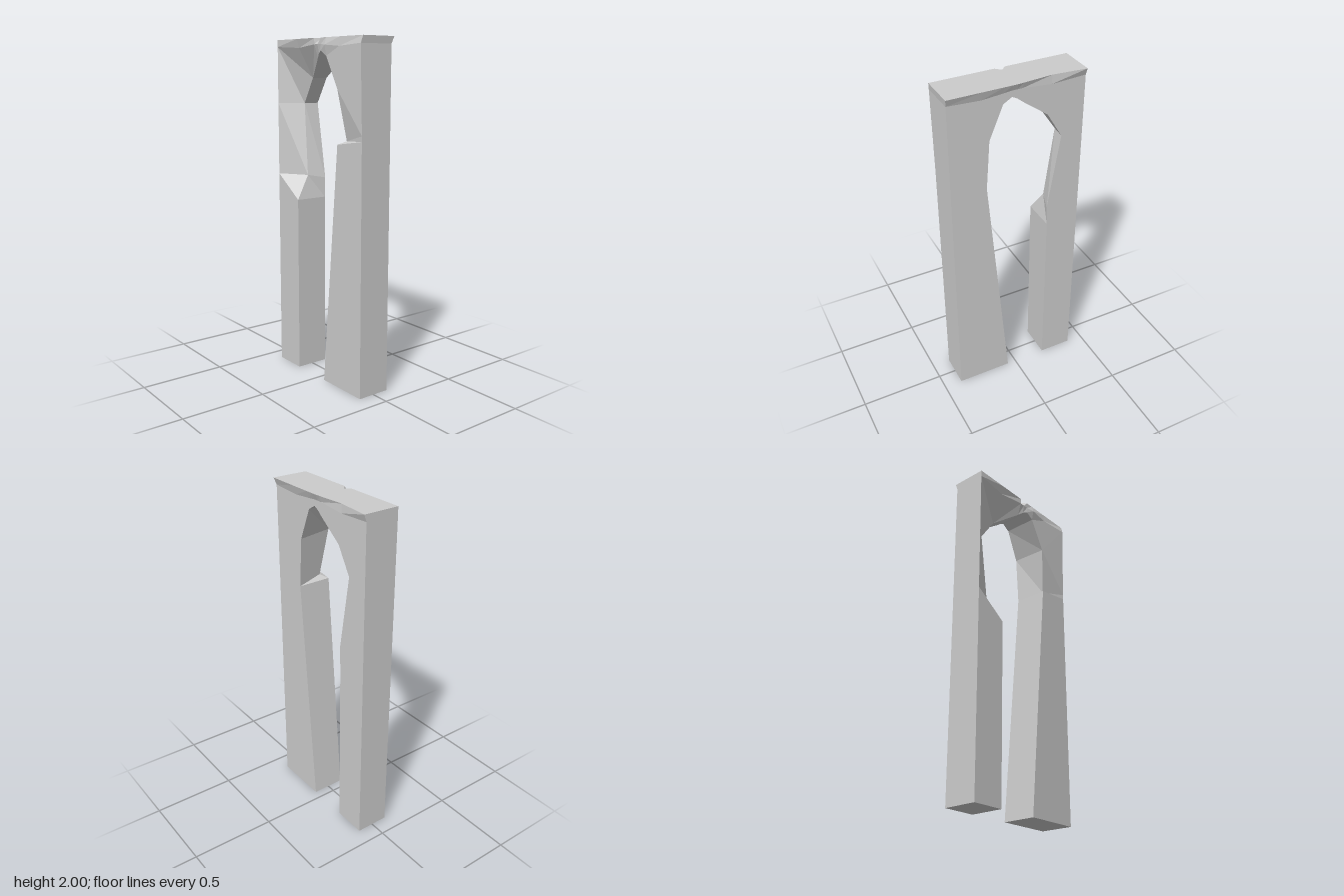
import * as THREE from 'three';

// One cross-section of the arch: [innerFront, ridgeFront, outerFront, outerBack, ridgeBack, innerBack].
// inner, ridge and outer are [x, y, zFront = 0.1, zBack = -0.1]; innerBack may differ from innerFront.
function section(inner, outer, { back = inner, ridge = outer } = {}) {
  const front = ([x, y, z = 0.1]) => [x, y, z];
  const rear = ([x, y, , z = -0.1]) => [x, y, z];
  return [front(inner), front(ridge), front(outer), rear(outer), rear(ridge), rear(back)];
}

// Skin consecutive cross-sections and close both feet
function skin(sections) {
  const positions = [];
  const [a, b, c, ab, ac] = Array.from({ length: 5 }, () => new THREE.Vector3());
  const tri = (p, q, r) => {
    a.set(...p); b.set(...q); c.set(...r);
    const area = ab.subVectors(b, a).cross(ac.subVectors(c, a)).length();
    if (area > 1e-7) positions.push(...p, ...q, ...r);
  };
  for (let j = 0; j < sections.length - 1; j++) {
    const s = sections[j], t = sections[j + 1];
    for (let k = 0; k < 6; k++) {
      const n = (k + 1) % 6;
      tri(s[k], t[k], t[n]);
      tri(s[k], t[n], s[n]);
    }
  }
  const first = sections[0], last = sections[sections.length - 1];
  tri(first[0], first[2], first[3]);
  tri(first[0], first[3], first[5]);
  tri(last[0], last[3], last[2]);
  tri(last[0], last[5], last[3]);
  const geometry = new THREE.BufferGeometry();
  geometry.setAttribute('position', new THREE.Float32BufferAttribute(positions, 3));
  geometry.computeVertexNormals();
  return geometry;
}

export function createModel() {
  const shoulderL = [-0.18, 1.78, 0];
  const shoulderR = [0.18, 1.72];
  const shoulderBackR = [0.16, 1.71];

  // Narrow leg, its inner front edge chipped away
  const narrowLeg = [
    section([-0.2, 0], [-0.4, 0]),
    section([-0.2, 1.06], [-0.4, 1.06]),
    section([-0.23, 1.2, 0.005], [-0.4, 1.2], { back: [-0.195, 1.18] }),
    section([-0.28, 1.63, -0.01], [-0.4, 1.63], { back: [-0.27, 1.63] }),
    section(shoulderL, [-0.4, 1.96]),
  ];

  // Lintel with a flared rim and a small notch in the front top edge
  const lintel = [
    section(shoulderL, [-0.4, 2, 0.1, -0.115], { ridge: [-0.4, 1.96] }),
    section(shoulderL, [-0.2, 2, 0.1, -0.097], { ridge: [-0.2, 1.95, 0.085] }),
    section([-0.03, 1.89, 0.075], [-0.03, 2, 0.1, -0.112], { ridge: [-0.03, 1.965] }),
    section([0, 1.915, 0.09], [0, 2, 0.07, -0.115], { ridge: [0, 1.965] }),
    section([0.03, 1.93], [0.03, 2, 0.1, -0.115], { ridge: [0.03, 1.965] }),
    section([0.08, 1.9], [0.08, 2, 0.1, -0.115], { ridge: [0.08, 1.96, 0.112] }),
    section(shoulderR, [0.2, 2, 0.1, -0.115], { back: shoulderBackR, ridge: [0.2, 1.95, 0.105] }),
    section(shoulderR, [0.395, 2, 0.1, -0.115], { back: shoulderBackR, ridge: [0.39, 1.96, 0.112] }),
  ];

  // Wide tapering leg with a ledge where the arch springs
  const wideLeg = [
    section(shoulderR, [0.39, 1.96, 0.112], { back: shoulderBackR }),
    section([0.22, 1.44, 0.065], [0.39, 1.48], { back: [0.18, 1.42] }),
    section([0.18, 1.42], [0.39, 1.45]),
    section([0.055, 0], [0.39, 0]),
  ];

  const arch = new THREE.Mesh(
    skin([...narrowLeg, ...lintel, ...wideLeg]),
    new THREE.MeshStandardMaterial({ color: 0xcccccc, flatShading: true })
  );
  arch.name = 'stoneArch';
  const group = new THREE.Group();
  group.name = 'archway';
  group.add(arch);
  return group;
}
